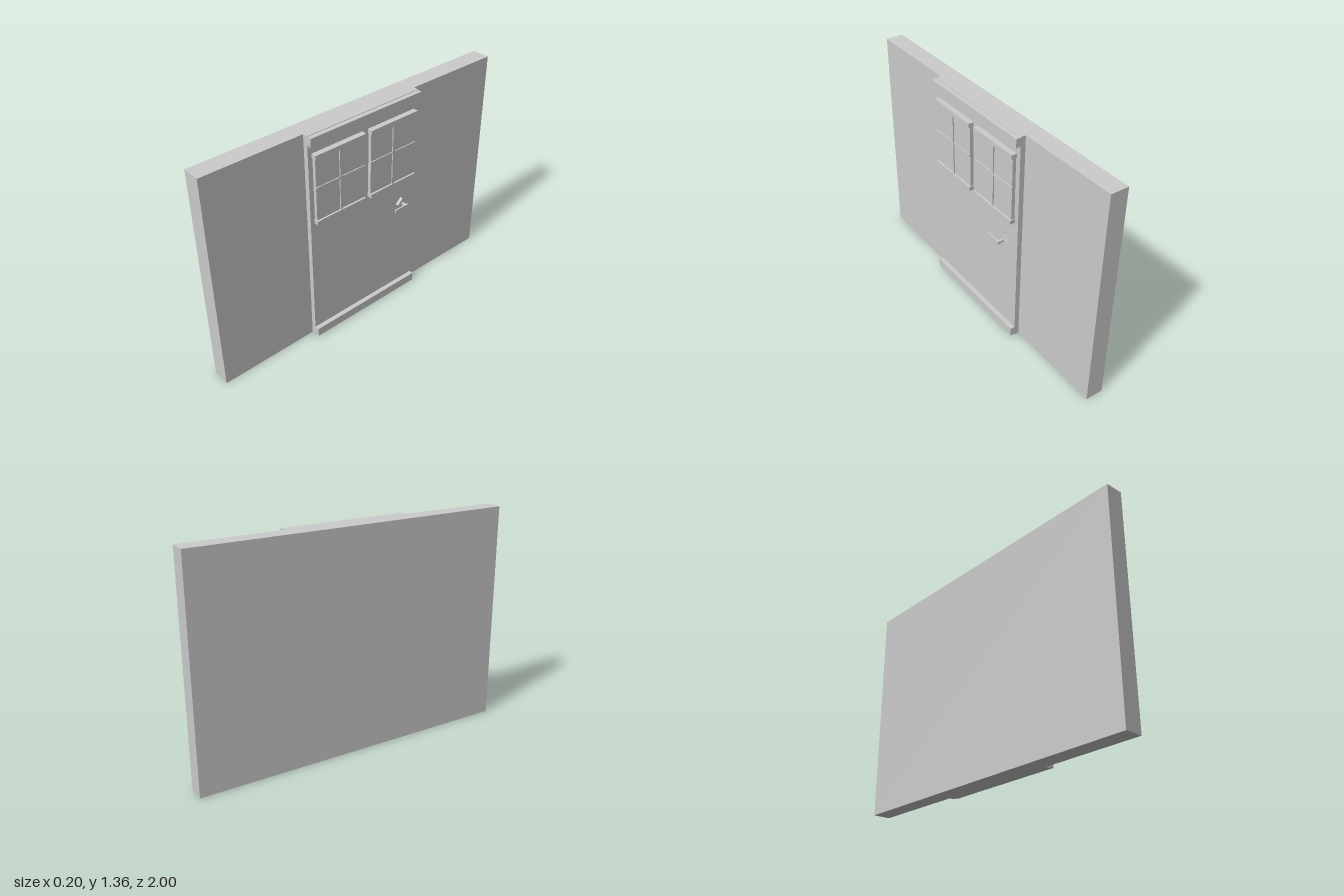
import * as THREE from 'three';

const material = new THREE.MeshStandardMaterial({ color: 0xcccccc, flatShading: true });

// Box given by its extents along each axis
function box(name, [x0, x1], [y0, y1], [z0, z1]) {
  const mesh = new THREE.Mesh(new THREE.BoxGeometry(x1 - x0, y1 - y0, z1 - z0), material);
  mesh.name = name;
  mesh.position.set((x0 + x1) / 2, (y0 + y1) / 2, (z0 + z1) / 2);
  return mesh;
}

// Pane with top and bottom rails and crossed glazing bars
function createWindow(zMid) {
  const group = new THREE.Group();
  group.name = 'window';
  const span = (half) => [zMid - half, zMid + half];
  group.add(
    box('pane', [0.035, 0.061], [0.82, 1.235], span(0.166)),
    box('topRail', [0.035, 0.073], [1.22, 1.246], span(0.171)),
    box('bottomRail', [0.035, 0.073], [0.812, 0.838], span(0.171)),
    box('verticalBar', [0.055, 0.068], [0.825, 1.235], span(0.007)),
    box('horizontalBar', [0.055, 0.067], [1.036, 1.048], span(0.169)),
  );
  return group;
}

// Diamond rosette, stem and lever
function createHandle() {
  const group = new THREE.Group();
  group.name = 'handle';
  const y = 0.652, z = -0.281;
  const side = 0.036 * Math.SQRT2;
  const rosette = new THREE.Mesh(new THREE.BoxGeometry(0.022, side, side), material);
  rosette.name = 'rosette';
  rosette.position.set(0.047, y, z);
  rosette.rotation.x = Math.PI / 4;
  group.add(
    rosette,
    box('stem', [0.055, 0.092], [y - 0.007, y + 0.007], [z - 0.008, z + 0.008]),
    box('lever', [0.089, 0.098], [y - 0.011, y + 0.011], [z - 0.01, -0.193]),
  );
  return group;
}

export function createModel() {
  const model = new THREE.Group();
  model.name = 'wallWithDoor';
  model.add(
    box('wall', [-0.098, 0.01], [0, 1.355], [-1, 1]),
    box('doorPanel', [0, 0.04], [0, 1.355], [-0.388, 0.388]),
    box('doorTopRail', [0.03, 0.068], [1.3, 1.352], [-0.388, 0.388]),
    box('doorBottomRail', [0.03, 0.068], [0.008, 0.062], [-0.388, 0.388]),
    createWindow(0.193),
    createWindow(-0.189),
    createHandle(),
  );
  return model;
}
